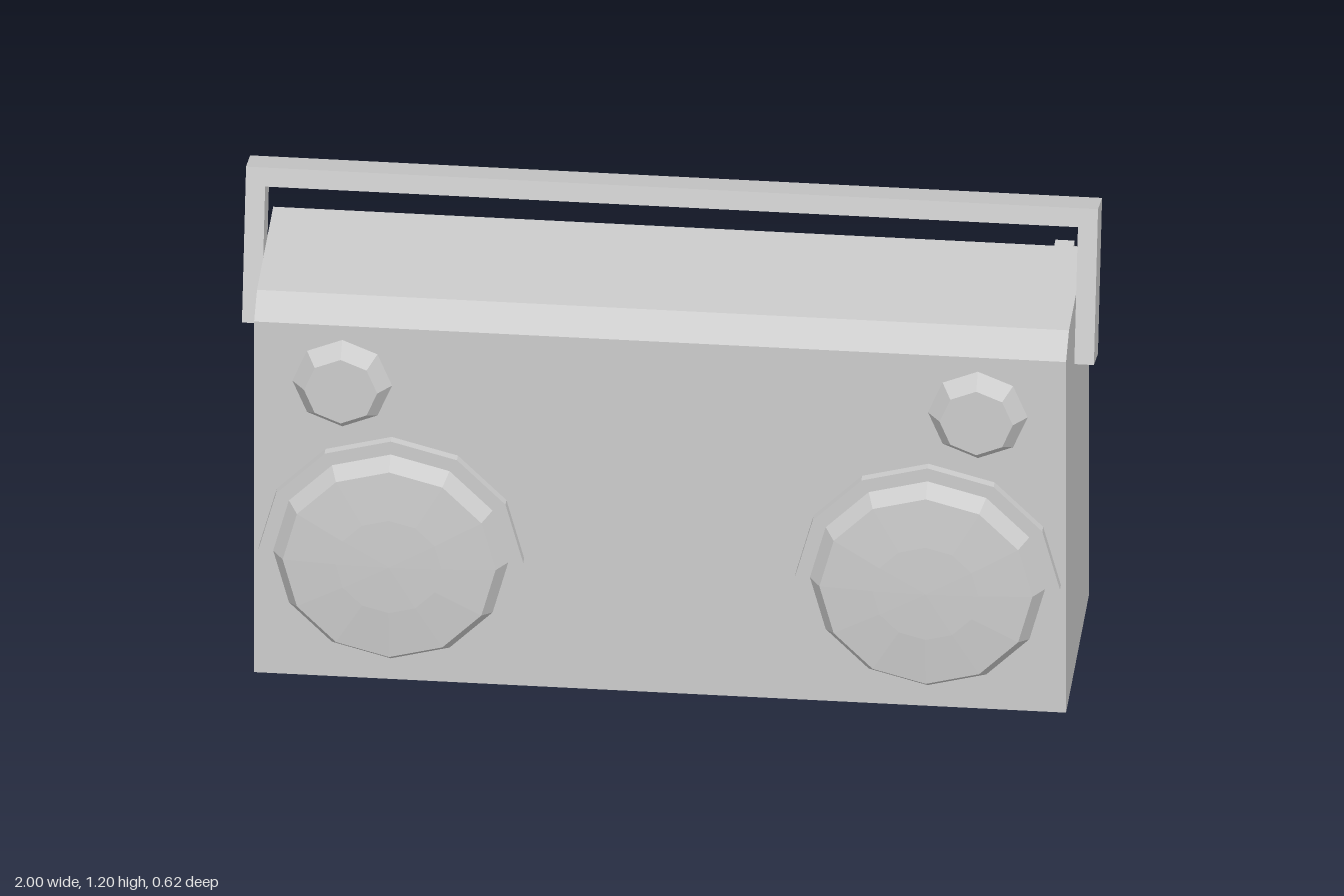
import * as THREE from 'three';

export function createModel() {
  const model = new THREE.Group();
  model.name = 'portableRadio';
  const grey = new THREE.MeshStandardMaterial({ color: 0xcccccc, flatShading: true });
  grey.name = 'light grey';

  function add(name, geometry, x = 0, y = 0, z = 0, parent = model) {
    const mesh = new THREE.Mesh(geometry, grey);
    mesh.name = name;
    mesh.position.set(x, y, z);
    parent.add(mesh);
    return mesh;
  }

  // Extrudes a (z, y) side profile across the width
  const halfWidth = 0.953;
  const profile = [[0.235, 0], [0.235, 0.95], [0.165, 0.995], [-0.22, 0.995],
    [-0.22, 0.928], [-0.306, 0.928], [-0.306, 0]];
  const side = new THREE.Shape(profile.map(([z, y]) => new THREE.Vector2(-z, y)));
  const bodyGeometry = new THREE.ExtrudeGeometry(side, { depth: 2 * halfWidth, bevelEnabled: false });
  bodyGeometry.translate(0, 0, -halfWidth).rotateY(Math.PI / 2);
  add('body', bodyGeometry);

  // Turned part facing +z, from (radius, depth) points listed back to front
  function turned(points, sides) {
    const geometry = new THREE.LatheGeometry(points.map(([r, d]) => new THREE.Vector2(r, d)), sides);
    return geometry.rotateX(Math.PI / 2);
  }

  // Speakers and knobs, mirrored left and right
  for (const s of [-1, 1]) {
    const label = s > 0 ? 'left' : 'right';
    add(label + 'SpeakerRing',
      turned([[0.311, 0], [0.311, 0.022], [0, 0.022]], 12), s * 0.63, 0.345, 0.235);
    add(label + 'SpeakerCone',
      turned([[0.276, 0.022], [0.25, 0.061], [0.125, 0.071], [0, 0.074]], 12), s * 0.63, 0.345, 0.235);
    add(label + 'Knob',
      turned([[0.117, 0], [0.086, 0.04], [0, 0.04]], 8), s * 0.746, 0.795, 0.235);
  }

  // Carrying handle, tilted backwards
  const handle = new THREE.Group();
  handle.name = 'handle';
  handle.position.set(0, 1.005, -0.049);
  handle.rotation.x = -Math.PI / 12;
  model.add(handle);
  const h = 0.189;
  const t = 0.046;
  const u = new THREE.Shape([[-1, -h], [-1 + t, -h], [-1 + t, h - t], [1 - t, h - t],
    [1 - t, -h], [1, -h], [1, h], [-1, h]].map(([x, y]) => new THREE.Vector2(x, y)));
  add('handleFrame', new THREE.ExtrudeGeometry(u, { depth: 0.1, bevelEnabled: false }), 0, 0, -0.05, handle);

  // Folded aerial lying in the rear notch
  const y = 0.953;
  const z = -0.252;
  add('aerialMount', new THREE.BoxGeometry(0.045, 0.05, 0.05), 0.9, y, z);
  add('aerialPivot', new THREE.CylinderGeometry(0.022, 0.022, 0.016, 8).rotateZ(Math.PI / 2), 0.929, y, z);
  const sections = [[0.88, 0.28, 0.013], [0.28, -0.32, 0.01], [-0.32, -0.91, 0.007]];
  sections.forEach(([a, b, r], i) =>
    add('aerialSection' + (i + 1),
      new THREE.CylinderGeometry(r, r, a - b, 8).rotateZ(Math.PI / 2), (a + b) / 2, y, z));
  add('aerialTip', new THREE.SphereGeometry(0.019, 8, 6), -0.918, y, z);

  return model;
}
